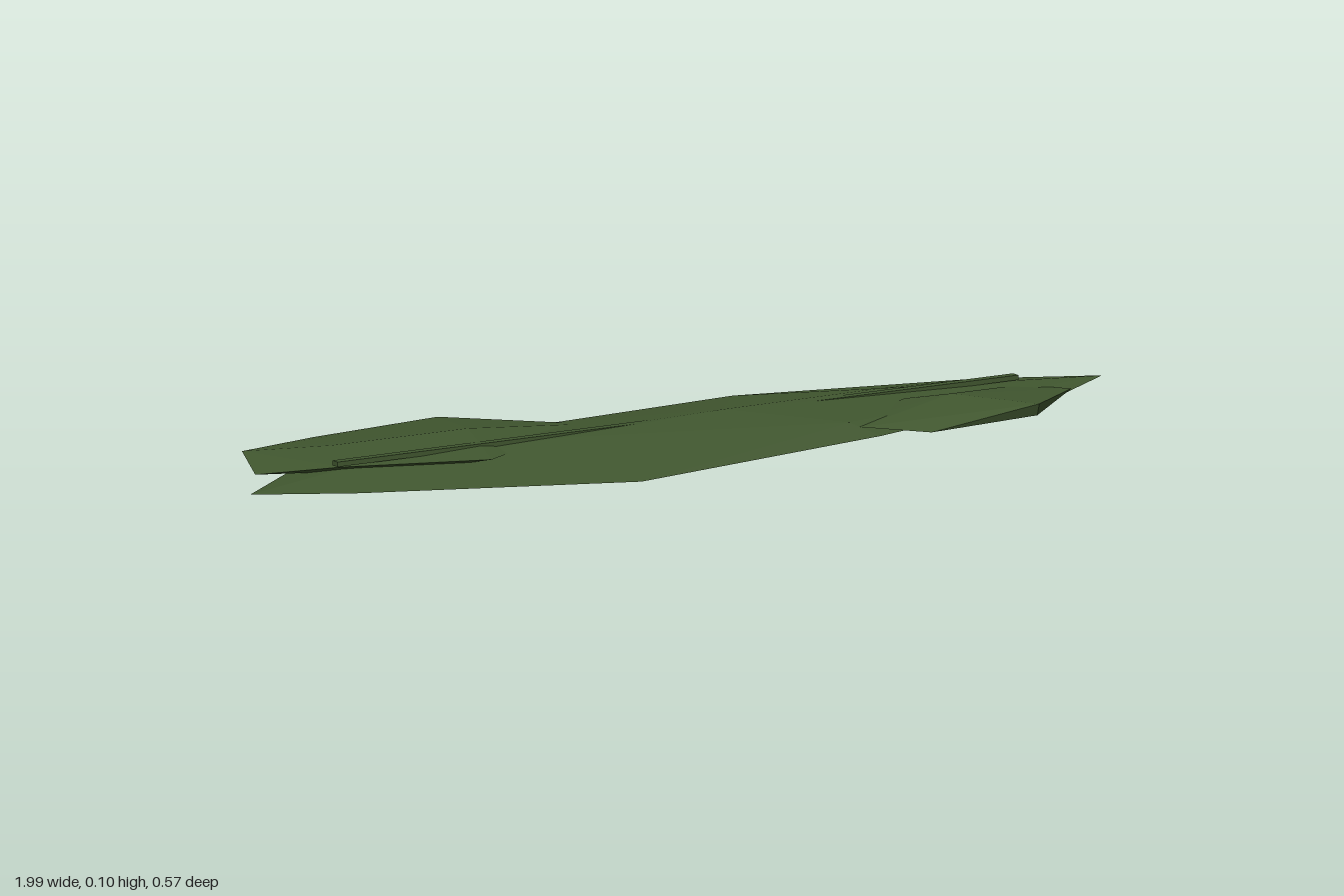
import * as THREE from 'three';
import { ConvexGeometry } from 'three/addons/geometries/ConvexGeometry.js';

const foliage = new THREE.MeshStandardMaterial({ color: 0x40562f });
foliage.name = 'foliage green';
foliage.flatShading = true;

// Faceted flat clump spanned by its corner points
function clump(name, corners) {
  const geometry = new ConvexGeometry(corners.map(c => new THREE.Vector3(...c)));
  const mesh = new THREE.Mesh(geometry, foliage);
  mesh.name = name;
  return mesh;
}

export function createModel() {
  const group = new THREE.Group();
  group.name = 'flatFoliagePatch';

  // Long central clump: rim, crown, underside
  group.add(clump('mainClump', [
    [-1, 0.03, -0.01], [-0.82, 0.036, 0.12], [-0.25, 0.025, 0.28], [0.36, 0.04, 0.215],
    [0.88, 0.05, 0.09], [0.99, 0.066, 0.05], [0.81, 0.025, -0.12], [0.81, 0.05, -0.12],
    [0.25, 0.067, -0.172], [-0.2, 0.032, -0.165], [-0.2, 0.06, -0.165], [-0.85, 0.05, -0.09],
    [0.1, 0.091, 0.03], [-0.3, 0.08, 0.05], [0.5, 0.083, -0.01], [0.3, 0.07, 0.19], [-0.75, 0.066, 0],
    [-0.15, 0, 0.015], [0.6, 0.018, 0], [-0.6, 0.012, 0.01],
  ]));

  // Raised clump at the back, on the model's right
  group.add(clump('backClump', [
    [-0.95, 0.055, -0.07], [-0.9, 0.075, -0.2], [-0.69, 0.043, -0.265], [-0.69, 0.07, -0.262],
    [-0.38, 0.073, -0.287], [-0.13, 0.062, -0.11], [-0.5, 0.068, 0.11], [-0.8, 0.07, 0.02],
    [-0.45, 0.097, -0.06], [-0.75, 0.088, -0.1], [-0.5, 0.037, -0.15], [-0.6, 0.045, 0.02],
  ]));

  // Smaller clump at the front, on the model's left
  group.add(clump('frontClump', [
    [0.32, 0.06, 0.15], [0.32, 0.06, 0.2], [0.45, 0.046, 0.264], [0.71, 0.075, 0.258],
    [0.71, 0.05, 0.25], [0.88, 0.062, 0.11], [0.79, 0.068, 0.05], [0.5, 0.078, 0.08],
    [0.58, 0.088, 0.13], [0.58, 0.038, 0.18],
  ]));

  // Thin stem running through the clumps
  const stem = new THREE.Mesh(new THREE.BoxGeometry(1.62, 0.01, 0.02), foliage);
  stem.name = 'stem';
  stem.position.set(-0.01, 0.08, 0.025);
  group.add(stem);

  return group;
}
